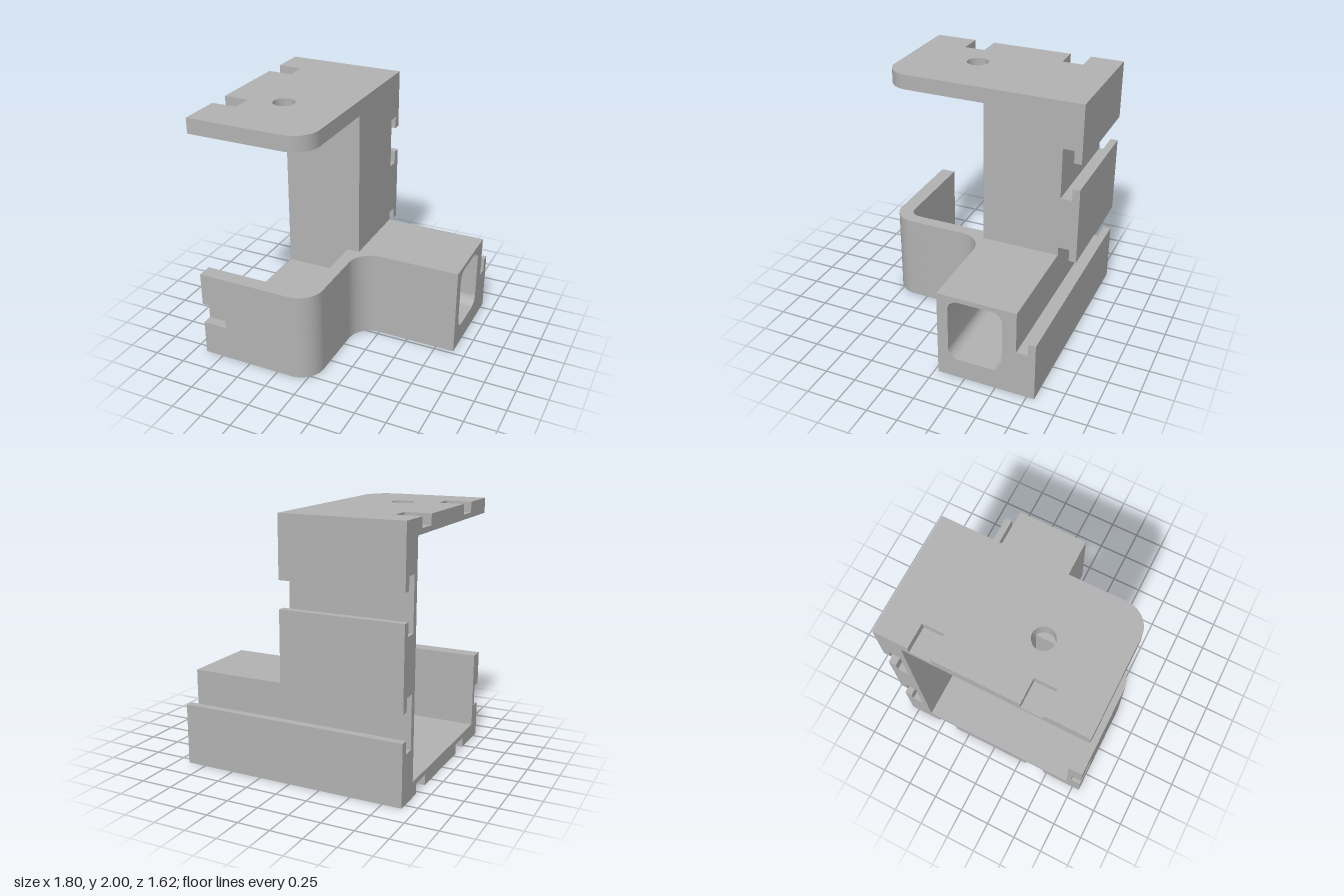
import * as THREE from 'three';
import { toCreasedNormals } from 'three/addons/utils/BufferGeometryUtils.js';

const grey = new THREE.MeshStandardMaterial({ color: 0xb2b2b2 });
grey.name = 'grey';

// Arc that rounds a right-angled corner p between its neighbours a and b
function arc(a, p, b, r, n = 14) {
  const toward = (q) => {
    const l = Math.hypot(q[0] - p[0], q[1] - p[1]);
    return [(q[0] - p[0]) / l * r, (q[1] - p[1]) / l * r];
  };
  const d1 = toward(a), d2 = toward(b), out = [];
  for (let i = 0; i <= n; i++) {
    const t = i / n * Math.PI / 2, c = 1 - Math.cos(t), s = 1 - Math.sin(t);
    out.push([p[0] + d1[0] * s + d2[0] * c, p[1] + d1[1] * s + d2[1] * c]);
  }
  return out;
}

// Polygon whose points may carry a corner radius as a third value
function outline(pts) {
  return pts.flatMap((p, i) => p[2]
    ? arc(pts[(i + pts.length - 1) % pts.length], p, pts[(i + 1) % pts.length], p[2])
    : [p]);
}

function circle(a, b, r) {
  return Array.from({ length: 40 }, (_, i) => {
    const t = i / 40 * Math.PI * 2;
    return [a + r * Math.cos(t), b + r * Math.sin(t)];
  });
}

function extrude(pts, holes, map, depth) {
  const shape = new THREE.Shape(pts.map(map));
  shape.holes = holes.map((h) => new THREE.Path(h.map(map)));
  return new THREE.ExtrudeGeometry(shape, { depth, bevelEnabled: false });
}

export function createModel() {
  const group = new THREE.Group();
  const add = (name, geo) => {
    const mesh = new THREE.Mesh(toCreasedNormals(geo, 0.5), grey);
    mesh.name = name;
    group.add(mesh);
  };
  // Plan outline [x, z] raised from y0 to y1
  const raise = (name, pts, y0, y1, holes = []) => add(name,
    extrude(pts, holes, ([x, z]) => new THREE.Vector2(x, -z), y1 - y0)
      .rotateX(-Math.PI / 2).translate(0, y0, 0));
  // Side outline [z, y] swept from x0 to x1
  const sweep = (name, pts, x0, x1, holes = []) => add(name,
    extrude(pts, holes, ([z, y]) => new THREE.Vector2(-z, y), x1 - x0)
      .rotateY(Math.PI / 2).translate(x0, 0, 0));

  const L = -0.9, R = 0.06, back = -0.81, front = 0.81, step = -0.03;
  const wallBack = -0.61, inner = -0.11, slotIn = -0.66, slotLip = -0.75;

  // T-slot running along x in the back face
  const slot = (y) => [[back, y + 0.1], [slotLip, y + 0.1], [slotLip, y], [slotIn, y],
    [slotIn, y + 0.41], [slotLip, y + 0.41], [slotLip, y + 0.31], [back, y + 0.31]];
  const column = (z) => [[z, 0], [back, 0], ...slot(0.38), ...slot(1.22), [back, 2], [z, 2]];

  // Upright: slotted back wall and thick side wall with shaft and screw holes
  sweep('backWall', column(wallBack), L, inner);
  sweep('sideWall', column(step), inner, R, [
    circle(-0.33, 0.425, 0.094), circle(-0.33, 0.605, 0.036), circle(-0.33, 0.242, 0.036)]);

  // Hollow side arm, its slot open at the top
  sweep('arm', [[step, 0], [back, 0], [back, 0.48], [slotLip, 0.48], [slotLip, 0.38],
    [slotIn, 0.38], [slotIn, 0.72], [step, 0.72]], R, 0.9, [outline([
    [-0.117, 0.163, 0.085], [-0.55, 0.163, 0.085], [-0.55, 0.682, 0.085], [-0.117, 0.682, 0.085]])]);

  // Fillet between arm and base
  raise('armFillet', [[R, step], ...arc([R, 1], [R, step], [1, step], 0.19)], 0, 0.72);

  // Floor and top plate, each in a plain layer and a notched outer layer
  const notch = (z0, z1) => [[L, z0], [-0.7, z0], [-0.7, z1], [L, z1]];
  const plate = (cuts) => outline([[L, wallBack], ...cuts, [L, front], [R, front, 0.19],
    [R, step], [inner, step], [inner, wallBack]]);
  const notched = plate([...notch(-0.54, -0.37), ...notch(0.3, 0.47)]);
  const hole = [circle(-0.43, 0.235, 0.086)];
  raise('floorOuter', notched, 0, 0.08, hole);
  raise('floorInner', plate([]), 0.08, 0.12, hole);
  raise('topPlateInner', plate([]), 1.88, 1.92, hole);
  raise('topPlateOuter', notched, 1.92, 2, hole);

  // Thin curved wall around the front of the base, notched at its free edge
  const wx = -0.04, wz = 0.69;
  const rim = (edge) => outline([...edge, [R, front, 0.19], [R, step], [wx, step],
    [wx, wz, 0.09], [L, wz]]);
  const plain = rim([[L, front]]);
  raise('frontWallLower', plain, 0.12, 0.28);
  raise('frontWallNotched', rim([[L, 0.73], [-0.7, 0.73], [-0.7, front]]), 0.28, 0.45);
  raise('frontWallUpper', plain, 0.45, 0.72);

  return group;
}
